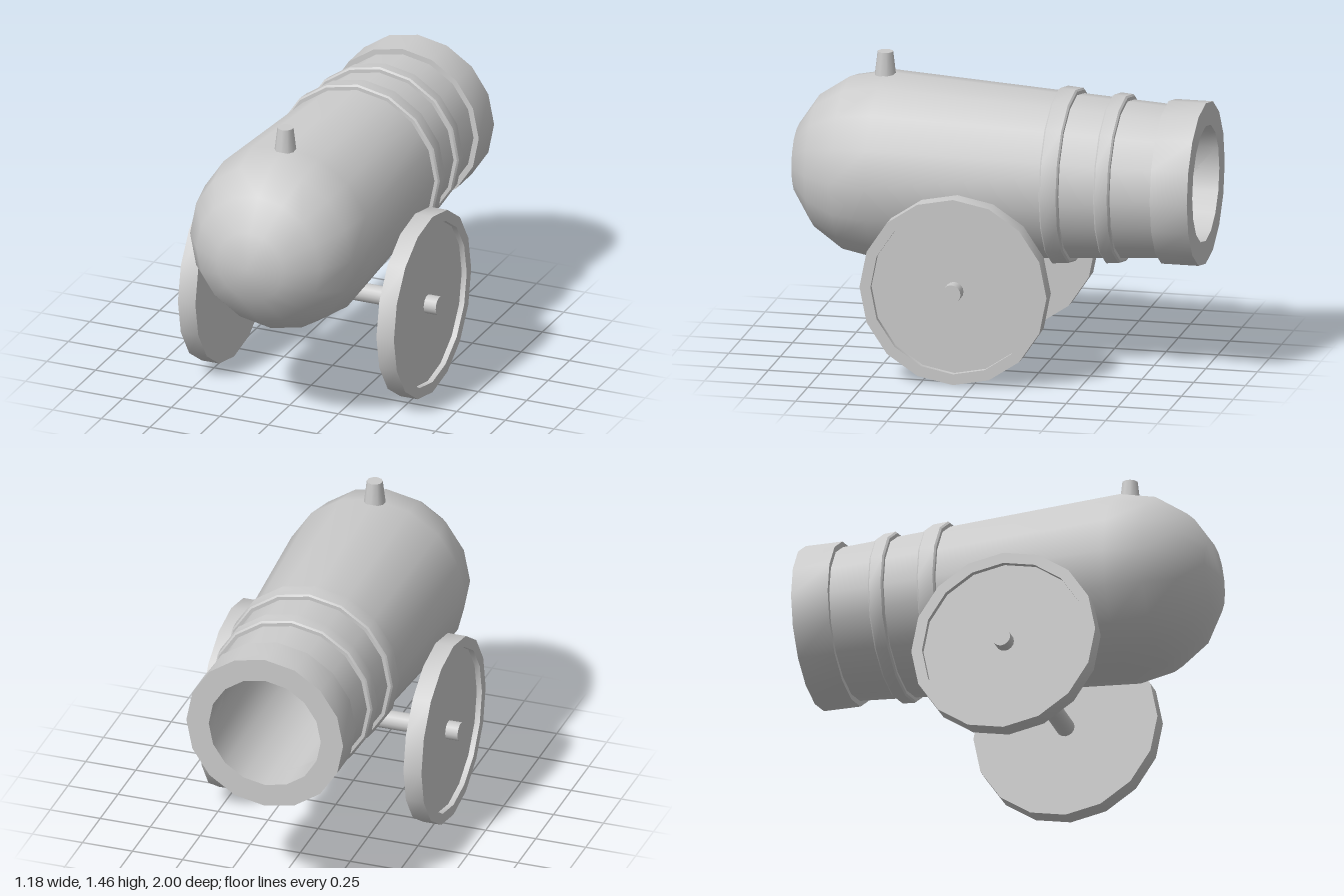
import * as THREE from 'three';
import { toCreasedNormals } from 'three/addons/utils/BufferGeometryUtils.js';

const SIDES = 16;
const AXIS_Y = 0.905;   // height of the barrel axis
const WHEEL_R = 0.4525;
const AXLE_Z = 0.093;

export function createModel() {
  const material = new THREE.MeshStandardMaterial({ color: 0xcccccc });
  const cannon = new THREE.Group();
  cannon.name = 'cannon';

  const add = (name, geometry, parent = cannon) => {
    const mesh = new THREE.Mesh(geometry, material);
    mesh.name = name;
    parent.add(mesh);
    return mesh;
  };

  // Lathe of [radius, distance along axis] points with sharp profile corners
  const turned = (points) => toCreasedNormals(
    new THREE.LatheGeometry(points.map(([r, h]) => new THREE.Vector2(r, h)), SIDES), 0.6);

  // Barrel group: everything turned around the z axis
  const barrelGroup = new THREE.Group();
  barrelGroup.name = 'barrelAssembly';
  barrelGroup.position.y = AXIS_Y;
  cannon.add(barrelGroup);

  const breechZ = 0.55, breechR = 0.45, boreR = 0.28;
  const barrelRadius = (z) => breechR - 0.062 * (breechZ - z);

  // Barrel: bore, tapered tube and round breech in one profile
  const profile = [[0, 0.45], [boreR, 0.45], [boreR, -0.995], [barrelRadius(-0.82), -0.995],
    [barrelRadius(-0.82), -0.82]];
  for (let i = 0; i <= 4; i++) {
    const a = (i / 4) * Math.PI / 2;
    profile.push([i === 4 ? 0 : breechR * Math.cos(a), breechZ + breechR * Math.sin(a)]);
  }
  add('barrel', turned(profile).rotateX(Math.PI / 2), barrelGroup);

  // Heavy ring around the muzzle
  add('muzzleRing', turned([
    [boreR, -0.82], [boreR, -1], [0.392, -1], [0.392, -0.82], [0.34, -0.82],
  ]).rotateX(Math.PI / 2), barrelGroup);

  // Two raised bands with small bevels
  for (const [name, z0, z1] of [['rearBand', -0.378, -0.288], ['frontBand', -0.622, -0.548]]) {
    const r0 = barrelRadius(z0) + 0.025, r1 = barrelRadius(z1) + 0.025, b = 0.008;
    add(name, turned([
      [r0 - 0.06, z0], [r0 - b, z0], [r0, z0 + b], [r1, z1 - b], [r1 - b, z1], [r1 - 0.06, z1],
    ]).rotateX(Math.PI / 2), barrelGroup);
  }

  // Fuse stub on top of the breech
  add('fuseStub', new THREE.CylinderGeometry(0.038, 0.053, 0.125, 10))
    .position.set(0, 1.3925, 0.55);

  // Axle
  add('axle', new THREE.CylinderGeometry(0.045, 0.045, 1.184, SIDES).rotateZ(Math.PI / 2))
    .position.set(0, WHEEL_R, AXLE_Z);

  // Solid wheels, recessed on the outer face
  for (const side of [1, -1]) {
    const wheel = turned([
      [0, 0.466], [WHEEL_R, 0.466], [WHEEL_R, 0.556], [0.4, 0.556], [0.4, 0.53], [0, 0.53],
    ]).rotateZ(-side * Math.PI / 2);
    add(side > 0 ? 'leftWheel' : 'rightWheel', wheel).position.set(0, WHEEL_R, AXLE_Z);
  }

  return cannon;
}
